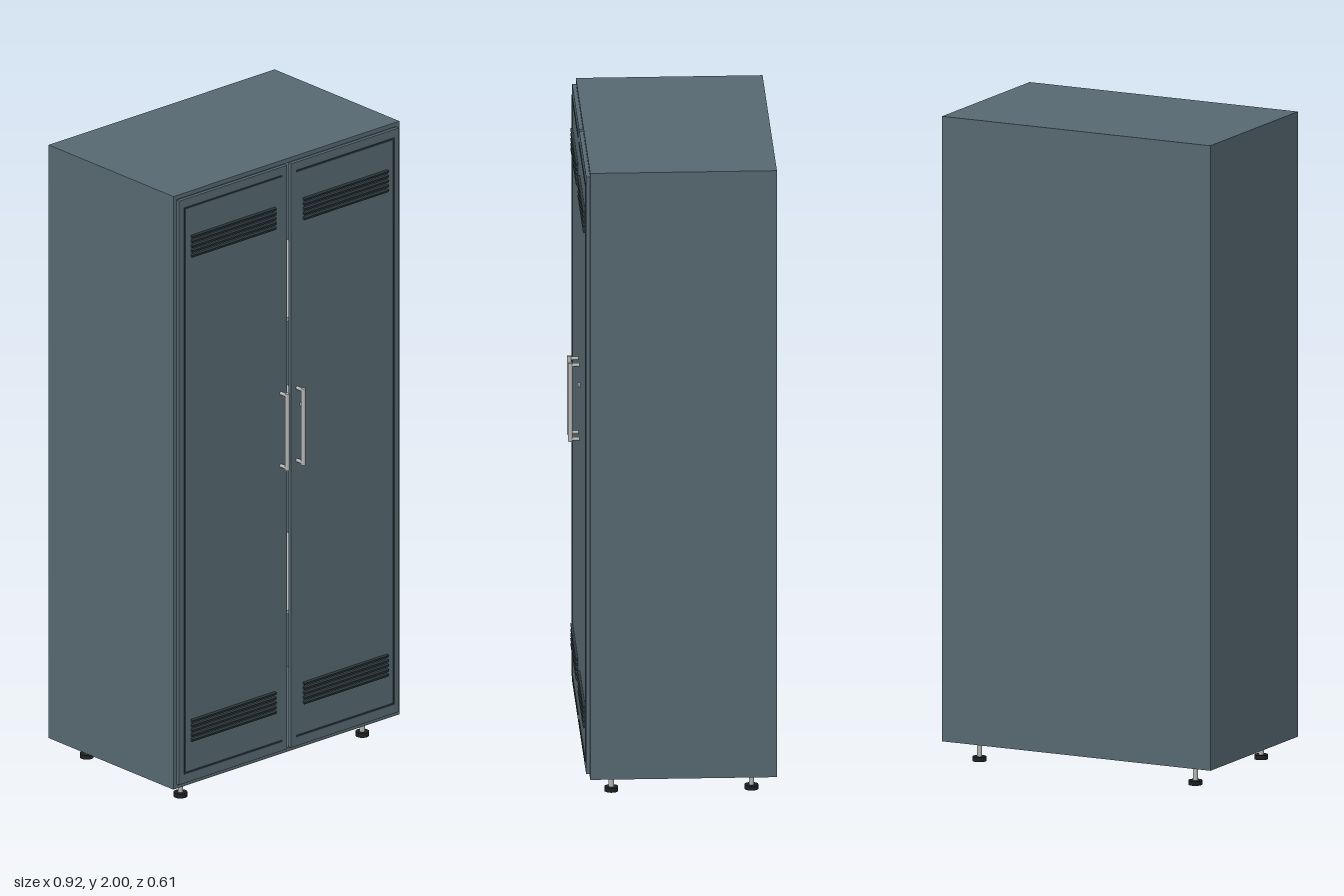
import * as THREE from 'three';

const mat = (color) => new THREE.MeshStandardMaterial({ color });

export function createModel() {
  const cabinet = new THREE.Group();
  cabinet.name = 'cabinet';
  const steel = mat(0x566870);
  const dark = mat(0x2b363b);
  const metal = mat(0xb4b4b4);
  const rubber = mat(0x1c1f21);

  const add = (parent, name, geometry, material, x, y, z) => {
    const mesh = new THREE.Mesh(geometry, material);
    mesh.name = name;
    mesh.position.set(x, y, z);
    parent.add(mesh);
    return mesh;
  };
  // Box given by its minimum and maximum corners
  const slab = (parent, name, material, [x0, y0, z0], [x1, y1, z1]) =>
    add(parent, name, new THREE.BoxGeometry(x1 - x0, y1 - y0, z1 - z0), material,
      (x0 + x1) / 2, (y0 + y1) / 2, (z0 + z1) / 2);
  const rod = (parent, name, material, r, length, x, y, z) =>
    add(parent, name, new THREE.CylinderGeometry(r, r, length, 20), material, x, y, z);

  const W = 0.46, T = 0.014, bottom = 0.065, top = 2, back = -0.308, front = 0.258;

  // Hollow carcass
  for (const s of [-1, 1]) {
    const side = slab(cabinet, s > 0 ? 'leftSide' : 'rightSide', steel,
      [W - T, bottom, back], [W, top, front]);
    side.position.x *= s;
  }
  slab(cabinet, 'topPanel', steel, [-W + T, top - T, back], [W - T, top, front]);
  slab(cabinet, 'bottomPanel', steel, [-W + T, bottom, back], [W - T, bottom + T, front]);
  slab(cabinet, 'backPanel', steel, [-W + T, bottom + T, back], [W - T, top - T, back + 0.01]);

  // Shelves
  for (const y of [0.51, 0.99, 1.465]) {
    slab(cabinet, 'shelf', metal, [-W + T, y - 0.006, back + 0.01], [W - T, y + 0.006, 0.24]);
  }

  // Doors, each with trim, two louvre banks and a bar handle
  for (const s of [-1, 1]) {
    const door = new THREE.Group();
    door.name = s > 0 ? 'leftDoor' : 'rightDoor';
    cabinet.add(door);
    const part = (name, material, a, b) => {
      const mesh = slab(door, name, material, a, b);
      mesh.position.x *= s;
      return mesh;
    };
    part('doorPanel', steel, [0.008, 0.08, front], [0.447, 1.985, 0.27]);

    // Thin raised trim
    const z0 = 0.269, z1 = 0.273, t = 0.005;
    part('topTrim', dark, [0.03, 1.953, z0], [0.428, 1.953 + t, z1]);
    part('bottomTrim', dark, [0.03, 0.11, z0], [0.428, 0.11 + t, z1]);
    part('outerTrim', dark, [0.428 - t, 0.11 + t, z0], [0.428, 1.953, z1]);

    // Tilted louvre slats
    for (const base of [0.215, 1.795]) {
      for (let i = 0; i < 5; i++) {
        const y = base + i * 0.0155;
        const slat = part('louvre', dark, [0.057, y - 0.004, 0.267], [0.4, y + 0.004, 0.277]);
        slat.rotation.x = 0.3;
      }
    }

    // Handle bar on two standoffs
    const hx = s * 0.033, hz = 0.298;
    rod(door, 'handleBar', metal, 0.007, 0.25, hx, 1.13, hz);
    for (const y of [1.012, 1.248]) {
      const post = rod(door, 'handlePost', metal, 0.0055, hz - 0.268, hx, y, (hz + 0.268) / 2);
      post.rotation.x = Math.PI / 2;
    }
    if (s > 0) {
      const lock = rod(door, 'lock', metal, 0.008, 0.008, 0.052, 1.19, 0.272);
      lock.rotation.x = Math.PI / 2;
    }
  }

  // Levelling feet
  for (const x of [-0.37, 0.37]) {
    for (const z of [-0.235, 0.19]) {
      const foot = new THREE.Group();
      foot.name = 'foot';
      foot.position.set(x, 0, z);
      cabinet.add(foot);
      rod(foot, 'footStem', metal, 0.008, 0.055, 0, 0.0395, 0);
      rod(foot, 'footPad', rubber, 0.021, 0.014, 0, 0.007, 0);
    }
  }
  return cabinet;
}
